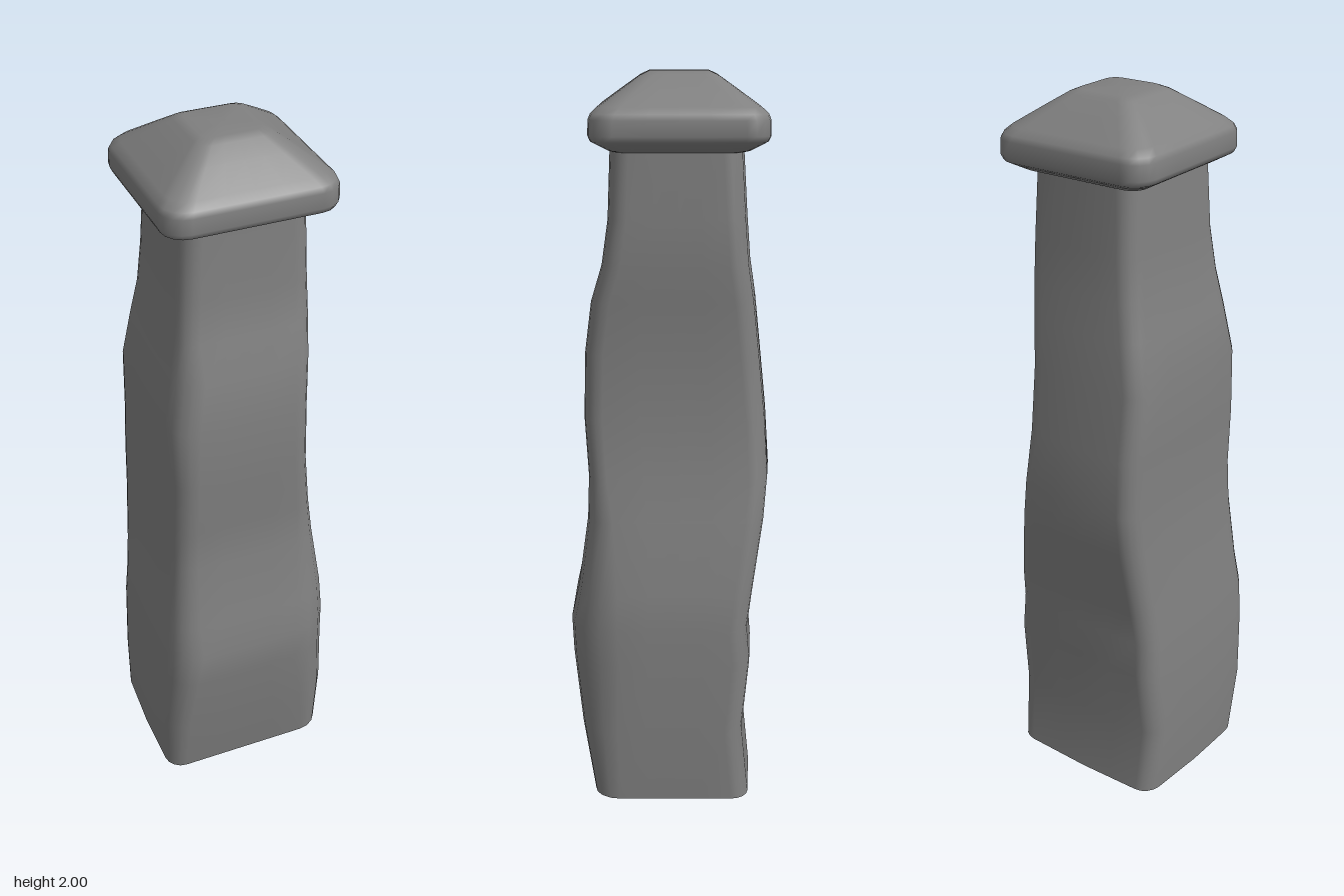
import * as THREE from 'three';

const material = new THREE.MeshStandardMaterial({ color: 0x808080, side: THREE.DoubleSide });

// Rounded rectangle ring [x, z] between the given limits.
// Radii run front left, front right, back right, back left; skew leans the right and back faces.
function ring(x0, x1, z0, z1, radii, skew = 0) {
  const pts = [];
  const arc = 4, straight = 4;
  const corners = [[x1, z1, -1, -1], [x0, z1, 1, -1], [x0, z0, 1, 1], [x1, z0, -1, 1]];
  corners.forEach(([cx, cz, sx, sz], k) => {
    const r = radii[k];
    for (let i = 0; i <= arc; i++) {
      const a = (k + i / arc) * Math.PI / 2;
      pts.push([cx + sx * r + Math.cos(a) * r, cz + sz * r + Math.sin(a) * r]);
    }
  });
  const out = [];
  pts.forEach((p, i) => {
    out.push(p);
    if (i % (arc + 1) === arc) {
      const q = pts[(i + 1) % pts.length];
      for (let s = 1; s < straight; s++) {
        const t = s / straight;
        out.push([p[0] + (q[0] - p[0]) * t, p[1] + (q[1] - p[1]) * t]);
      }
    }
  });
  return out.map(([x, z]) => [
    x < 0 && z < 0 ? x + skew * (z / z0) * (x / x0) : x,
    z < 0 && x > 0 ? z + skew * (x / x1) * (z / z0) : z,
  ]);
}

// Skins a stack of rings, optionally closing the top.
function loft(rings, heights, closeTop) {
  const n = rings[0].length, pos = [], index = [];
  rings.forEach((r, i) => r.forEach(([x, z]) => pos.push(x, heights[i], z)));
  for (let i = 0; i < rings.length - 1; i++) {
    for (let j = 0; j < n; j++) {
      const a = i * n + j, b = i * n + (j + 1) % n;
      index.push(a, a + n, b, b, a + n, b + n);
    }
  }
  if (closeTop) {
    const last = rings[rings.length - 1], base = (rings.length - 1) * n;
    const cx = last.reduce((s, p) => s + p[0], 0) / n, cz = last.reduce((s, p) => s + p[1], 0) / n;
    pos.push(cx, heights[heights.length - 1], cz);
    for (let j = 0; j < n; j++) index.push(base + j, base + n, base + (j + 1) % n);
  }
  const g = new THREE.BufferGeometry();
  g.setAttribute('position', new THREE.Float32BufferAttribute(pos, 3));
  g.setIndex(index);
  g.computeVertexNormals();
  return g;
}

export function createModel() {
  const group = new THREE.Group();
  group.name = 'stonePost';
  const add = (name, geometry) => {
    const mesh = new THREE.Mesh(geometry, material);
    mesh.name = name;
    group.add(mesh);
  };

  // Wavy shaft, open at the bottom: y, right, left, back, front limits, front left and front right radius
  const shaft = [
    [0.00, -0.25, 0.255, -0.23, 0.215, 0.07, 0.05],
    [0.20, -0.26, 0.26, -0.21, 0.25, 0.10, 0.06],
    [0.40, -0.25, 0.255, -0.23, 0.275, 0.13, 0.07],
    [0.50, -0.245, 0.252, -0.222, 0.28, 0.13, 0.08],
    [0.60, -0.235, 0.245, -0.235, 0.258, 0.11, 0.07],
    [0.80, -0.22, 0.21, -0.265, 0.23, 0.07, 0.06],
    [0.92, -0.216, 0.19, -0.275, 0.226, 0.05, 0.06],
    [1.08, -0.215, 0.172, -0.265, 0.237, 0.05, 0.06],
    [1.26, -0.22, 0.17, -0.247, 0.233, 0.05, 0.07],
    [1.40, -0.197, 0.178, -0.232, 0.215, 0.05, 0.07],
    [1.50, -0.18, 0.187, -0.217, 0.185, 0.05, 0.05],
    [1.62, -0.17, 0.187, -0.208, 0.168, 0.05, 0.05],
    [1.84, -0.16, 0.18, -0.195, 0.16, 0.05, 0.05],
  ];
  add('shaft', loft(
    shaft.map(([, x0, x1, z0, z1, fl, fr]) => ring(x0, x1, z0, z1, [fl, fr, 0.05, 0.05], 0.015)),
    shaft.map((s) => s[0]), false));

  // Pyramid cap: y, half width, corner radius, closing in on the flat top
  const cap = [
    [1.795, 0.165, 0.03], [1.80, 0.185, 0.04], [1.815, 0.212, 0.05], [1.825, 0.23, 0.06],
    [1.84, 0.237, 0.065], [1.88, 0.236, 0.065], [1.895, 0.23, 0.065], [1.912, 0.212, 0.06],
    [1.96, 0.145, 0.045], [1.99, 0.102, 0.035], [2.00, 0.08, 0.03],
  ];
  const cx = 0.014, cz = -0.021;
  add('cap', loft(
    cap.map(([, h, r]) => ring(cx - h, cx + h, cz - h, cz + h, [r, r, r, r])),
    cap.map((c) => c[0]), true));

  return group;
}
